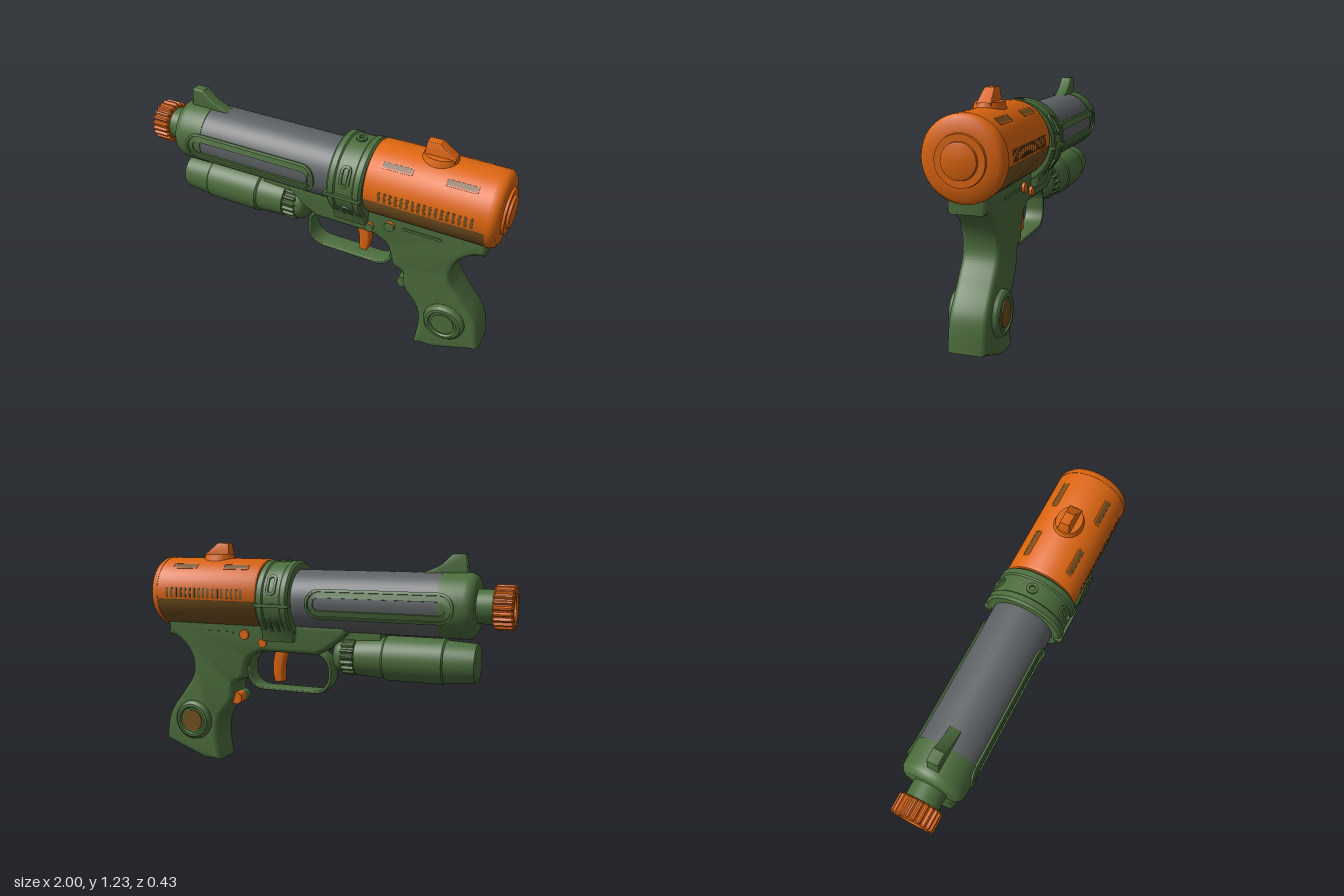
import * as THREE from 'three';
import { toCreasedNormals } from 'three/addons/utils/BufferGeometryUtils.js';

const mat = (name, color) => new THREE.MeshStandardMaterial({ name, color });

export function createModel() {
  const green = mat('olive green', 0x4c6d3d);
  const orange = mat('orange', 0xdd6610);
  const grey = mat('steel grey', 0x5e6264);
  const brown = mat('brown', 0x735020);
  const model = new THREE.Group();
  model.name = 'toyBlaster';

  const add = (name, geo, material, x = 0, y = 0, z = 0) => {
    const mesh = new THREE.Mesh(toCreasedNormals(geo, 0.6), material);
    mesh.name = name;
    mesh.position.set(x, y, z);
    model.add(mesh);
    return mesh;
  };
  // Turned part along x; the profile is [x, radius] from front to rear
  const turned = (name, profile, material, y, start = 0, sweep = Math.PI * 2) => {
    const pts = profile.map(([x, r]) => new THREE.Vector2(r, x));
    const geo = new THREE.LatheGeometry(pts, 48, start, sweep);
    return add(name, geo.rotateZ(-Math.PI / 2), material, 0, y);
  };
  const polygon = (pts) => new THREE.Shape(pts.map(([x, y]) => new THREE.Vector2(x, y)));
  // Side profile extruded symmetrically about z = 0, with bevelled edges
  const slab = (shape, width, bevel = 0) => {
    const geo = new THREE.ExtrudeGeometry(shape, {
      depth: width - 2 * bevel, bevelEnabled: bevel > 0, bevelSize: bevel,
      bevelThickness: bevel, bevelOffset: -bevel, bevelSegments: 3, curveSegments: 14,
    });
    return geo.translate(0, 0, -(width - 2 * bevel) / 2);
  };
  const roundRect = (w, h, r, Type = THREE.Shape) => {
    const s = new Type(), a = w / 2 - r, b = h / 2 - r;
    s.absarc(a, b, r, 0, Math.PI / 2);
    s.absarc(-a, b, r, Math.PI / 2, Math.PI);
    s.absarc(-a, -b, r, Math.PI, Math.PI * 1.5);
    s.absarc(a, -b, r, Math.PI * 1.5, Math.PI * 2);
    s.closePath();
    return s;
  };
  const ringShape = (w, h, t, r) => {
    const s = roundRect(w, h, r);
    s.holes.push(roundRect(w - 2 * t, h - 2 * t, r - t, THREE.Path));
    return s;
  };
  // Bends a flat shape around a cylinder along x at the given angle
  const wrapped = (name, shape, height, radius, angle, material, x, y) => {
    const geo = new THREE.ExtrudeGeometry(shape, { depth: height, bevelEnabled: false, curveSegments: 12 });
    const p = geo.attributes.position;
    for (let i = 0; i < p.count; i++) {
      const t = angle + p.getY(i) / radius, r = radius + p.getZ(i);
      p.setXYZ(i, p.getX(i), r * Math.sin(t), r * Math.cos(t));
    }
    geo.computeVertexNormals();
    return add(name, geo, material, x, y);
  };
  // Ribbed ring along x
  const ribbed = (name, radius, hole, ribs, x0, x1, y, material) => {
    const pts = [];
    for (let i = 0; i < ribs * 4; i++) {
      const r = i % 4 < 2 ? radius : radius - 0.012, a = (i / (ribs * 4)) * Math.PI * 2;
      pts.push([r * Math.cos(a), r * Math.sin(a)]);
    }
    const s = polygon(pts);
    if (hole) s.holes.push(new THREE.Path().absarc(0, 0, hole, 0, Math.PI * 2));
    const geo = new THREE.ExtrudeGeometry(s, {
      depth: x1 - x0 - 0.016, bevelThickness: 0.008, bevelSize: 0.008, bevelOffset: -0.008, bevelSegments: 1, curveSegments: 24,
    });
    return add(name, geo.translate(0, 0, 0.008).rotateY(Math.PI / 2), material, x0, y);
  };
  const disc = (name, r0, r1, depth, material, x, y, z) =>
    add(name, new THREE.CylinderGeometry(r1, r0, depth, 32).rotateX(Math.PI / 2), material, x, y, z);

  const axis = 0.933, rearAxis = 0.957, sides = [1, -1];
  const sideAngle = (side, a) => (side > 0 ? a : Math.PI - a);

  // Muzzle and barrel
  ribbed('muzzleNut', 0.112, 0.062, 22, -1, -0.9, axis, orange);
  turned('muzzleBore', [[-0.93, 0], [-0.93, 0.07], [-0.9, 0.07]], orange, axis);
  turned('muzzleNeck', [[-0.91, 0], [-0.91, 0.086], [-0.81, 0.086]], green, axis);
  turned('barrelFront', [[-0.82, 0], [-0.82, 0.135], [-0.81, 0.152], [-0.79, 0.163], [-0.77, 0.166], [-0.645, 0.166], [-0.645, 0.15]], green, axis);
  turned('barrel', [[-0.66, 0.163], [0.15, 0.163]], grey, axis);
  for (const s of sides) {
    wrapped('sideRail', ringShape(0.77, 0.148, 0.042, 0.073), 0.01, 0.16, sideAngle(s, 0), green, -0.345, axis - 0.004);
    wrapped('sideRailLip', ringShape(0.77, 0.148, 0.014, 0.073), 0.016, 0.16, sideAngle(s, 0), green, -0.345, axis - 0.004);
  }
  add('frontSight', slab(polygon([[-0.77, 1.06], [-0.755, 1.188], [-0.69, 1.188], [-0.635, 1.135], [-0.55, 1.095], [-0.55, 1.06]]), 0.06, 0.006), green);

  // Collar with its pads, side ridges and cradle
  turned('collar', [[0.125, 0.15], [0.125, 0.198], [0.137, 0.21], [0.165, 0.21], [0.172, 0.203], [0.265, 0.203], [0.272, 0.21], [0.3, 0.21], [0.312, 0.198], [0.312, 0.15]], green, axis);
  for (const a of [0.45, -0.7, Math.PI - 0.45, Math.PI + 0.7, Math.PI / 2])
    wrapped('collarPad', ringShape(0.055, a === Math.PI / 2 ? 0.055 : 0.11, 0.014, 0.027), 0.013, 0.2, a, green, 0.22, axis);
  for (const s of sides)
    add('collarRidge', new THREE.BoxGeometry(0.2, 0.018, 0.04), green, 0.215, 0.915, s * 0.196);
  const cradle = polygon([[-0.12, 0.715], [0.12, 0.715], [0.135, 0.77], [0.185, 0.86], [-0.185, 0.86], [-0.135, 0.77]]);
  add('collarCradle', slab(cradle, 0.18, 0.008).rotateY(Math.PI / 2), green, 0.22);

  // Rear housing: orange above, brown below
  const split = 0.14, shell = [[0.315, 0.13], [0.315, 0.185], [0.325, 0.191], [0.92, 0.191]];
  turned('rearHousingTop', shell, orange, rearAxis, Math.PI - split, Math.PI + 2 * split);
  turned('rearHousingBottom', shell, brown, rearAxis, split, Math.PI - 2 * split);
  turned('rearCap', [[0.92, 0.18], [0.92, 0.193], [0.94, 0.192], [0.957, 0.182], [0.968, 0.165], [0.972, 0.115], [0.985, 0.113], [0.985, 0.082], [0.997, 0.08], [1, 0.072], [1, 0]], orange, rearAxis);
  for (const s of sides) {
    for (const x of [0.46, 0.775]) {
      wrapped('topSlot', roundRect(0.145, 0.03, 0.006), 0.002, 0.191, sideAngle(s, 0.9), brown, x, rearAxis);
      wrapped('topSlotRim', ringShape(0.155, 0.04, 0.006, 0.008), 0.004, 0.19, sideAngle(s, 0.9), orange, x, rearAxis);
    }
    for (let i = 0; i < 17; i++)
      wrapped('vent', roundRect(0.014, 0.055, 0.004), 0.002, 0.191, sideAngle(s, 0.05), brown, 0.4 + i * 0.0285, rearAxis);
  }
  // Rear sight on an oval base
  const base = new THREE.CylinderGeometry(0.082, 0.098, 0.05, 32).scale(1, 1, 0.8);
  add('rearSightBase', base, orange, 0.625, 1.143);
  const fin = slab(polygon([[0.55, 1.15], [0.56, 1.23], [0.625, 1.23], [0.705, 1.165], [0.705, 1.15]]), 0.07, 0.005);
  const fp = fin.attributes.position;
  for (let i = 0; i < fp.count; i++) if (fp.getY(i) > 1.2) fp.setZ(i, fp.getZ(i) * 0.72);
  fin.computeVertexNormals();
  add('rearSightFin', fin, orange);

  // Tube slung under the barrel
  const tubeY = 0.647;
  turned('underTube', [[-0.83, 0], [-0.83, 0.088], [-0.822, 0.1], [-0.67, 0.11], [-0.662, 0.117], [-0.36, 0.117], [-0.35, 0.108], [-0.2, 0.1], [-0.2, 0.07]], green, tubeY);
  ribbed('underTubeKnob', 0.102, 0, 18, -0.2, -0.12, tubeY, green);
  turned('underTubeTail', [[-0.125, 0.09], [-0.095, 0.085], [-0.078, 0.07], [-0.07, 0.045], [-0.07, 0]], green, tubeY);
  add('tubeMount', new THREE.BoxGeometry(0.26, 0.08, 0.09), green, -0.2, 0.76);

  // Frame and grip in one side profile
  const grip = polygon([[-0.155, 0.82], [-0.155, 0.765], [-0.06, 0.685], [0.01, 0.65], [0.34, 0.65]]);
  grip.splineThru([[0.41, 0.61], [0.44, 0.54], [0.455, 0.49], [0.51, 0.455], [0.525, 0.36], [0.595, 0.265], [0.62, 0.16], [0.605, 0.005]].map((p) => new THREE.Vector2(...p)));
  grip.lineTo(0.715, 0.005);
  grip.lineTo(0.96, 0.1);
  grip.splineThru([[0.93, 0.255], [0.84, 0.385], [0.775, 0.48], [0.765, 0.56], [0.795, 0.64], [0.86, 0.7], [0.92, 0.715]].map((p) => new THREE.Vector2(...p)));
  grip.lineTo(0.92, 0.82);
  add('gripFrame', slab(grip, 0.184, 0.025), green);
  for (const s of sides) {
    add('frameRidge', new THREE.BoxGeometry(0.2, 0.014, 0.01), green, 0.6, 0.745, s * 0.093);
    // Round grip boss with a raised rim
    const boss = new THREE.LatheGeometry([[0.113, 0], [0.108, 0.022], [0.095, 0.034], [0.08, 0.036], [0.073, 0.026], [0, 0.026]].map((p) => new THREE.Vector2(...p)), 40);
    add('gripBoss', boss.rotateX(s * Math.PI / 2), green, 0.765, 0.23, s * 0.088);
    disc('gripBossDisc', 0.062, 0.062, 0.008, s > 0 ? green : brown, 0.765, 0.23, s * 0.117);
    // Cross pins
    for (const [x, y, r] of [[0.32, 0.7, 0.024], [0.43, 0.74, 0.027]]) {
      disc('pin', r, r, 0.02, orange, x, y, s * 0.095);
      if (s > 0) disc('pinCap', r, r, 0.004, green, x, y, 0.107);
    }
    disc('gripButton', 0.034, 0.034, 0.06, s > 0 ? green : orange, 0.51, 0.37, s * 0.03);
  }

  // Trigger guard and trigger
  add('triggerGuard', slab(ringShape(0.5, 0.235, 0.017, 0.1), 0.1, 0.004), green, 0.19, 0.548);
  const trigger = new THREE.Shape();
  trigger.moveTo(0.19, 0.67);
  trigger.quadraticCurveTo(0.25, 0.6, 0.235, 0.48);
  trigger.lineTo(0.28, 0.475);
  trigger.quadraticCurveTo(0.31, 0.58, 0.265, 0.67);
  add('trigger', slab(trigger, 0.065, 0.008), orange);

  return model;
}
